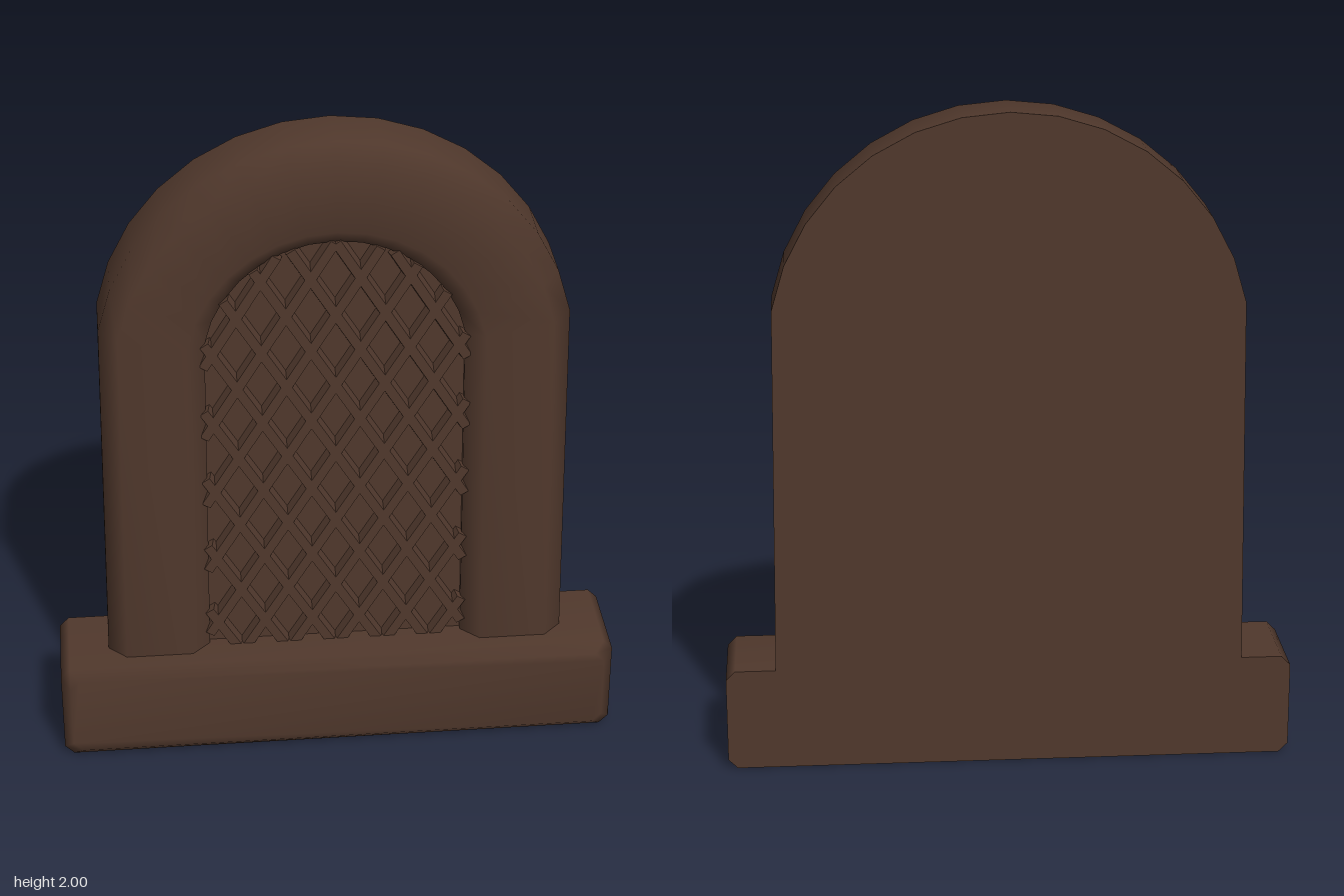
import * as THREE from 'three';

const material = new THREE.MeshStandardMaterial({ color: 0x50382c });
const ARCH_Y = 1.3, BACK = -0.155, FRONT = 0.075;
const OPEN_R = 0.388, FRAME_R = 0.7, BEVEL = 0.055;
const SILL_TOP = 0.315, PANEL_Z = 0.003;

function addMesh(parent, name, geometry) {
  const mesh = new THREE.Mesh(geometry, material);
  mesh.name = name;
  parent.add(mesh);
  return mesh;
}

const toVectors = (pts) => pts.map(([x, y]) => new THREE.Vector2(x, y));
const flatGeometry = (pts) => new THREE.ShapeGeometry(new THREE.Shape(toVectors(pts)));

// Round-topped outline of half-width r, counter-clockwise from the lower +x corner
function archOutline(r, bottom) {
  const pts = [[r * 1.005, bottom]];
  const start = 0.187, steps = 14;
  for (let i = 0; i <= steps; i++) {
    const a = start + (Math.PI - 2 * start) * i / steps;
    pts.push([r * Math.cos(a), ARCH_Y + r * Math.sin(a)]);
  }
  pts.push([-r * 1.005, bottom]);
  return pts;
}

// Rectangle with cut corners, shrunk by inset
function sillOutline(inset) {
  const x = 0.853 - inset, y0 = inset, y1 = SILL_TOP - inset, c = 0.028;
  return [
    [x - c, y0], [x, y0 + c], [x, y1 - c], [x - c, y1],
    [c - x, y1], [-x, y1 - c], [-x, y0 + c], [c - x, y0],
  ];
}

// Smooth skin through rings { pts, z } running from back to front;
// a closed loft joins the ring ends and caps the last ring
function loft(rings, closed) {
  const n = rings[0].pts.length, pos = [], idx = [];
  rings.forEach(({ pts, z }) => pts.forEach(([x, y]) => pos.push(x, y, z)));
  for (let k = 0; k < rings.length - 1; k++) {
    for (let i = 0; i < (closed ? n : n - 1); i++) {
      const a = k * n + i, b = k * n + (i + 1) % n;
      idx.push(a, b, b + n, a, b + n, a + n);
    }
  }
  if (closed) {
    const first = (rings.length - 1) * n;
    for (const tri of THREE.ShapeUtils.triangulateShape(toVectors(rings.at(-1).pts), [])) {
      idx.push(...tri.map((i) => i + first));
    }
  }
  const g = new THREE.BufferGeometry();
  g.setAttribute('position', new THREE.Float32BufferAttribute(pos, 3));
  g.setIndex(idx);
  g.computeVertexNormals();
  return g;
}

// Is the point within the window opening?
function inOpening(x, y) {
  if (y < 0.3) return false;
  return y < ARCH_Y ? Math.abs(x) < OPEN_R : Math.hypot(x, y - ARCH_Y) < OPEN_R;
}

// Bar with sloped sides, lying along its own y axis
function barGeometry(length) {
  const g = new THREE.BoxGeometry(0.044, length, 0.034);
  const p = g.attributes.position;
  for (let i = 0; i < p.count; i++) {
    if (p.getZ(i) > 0) p.setX(i, p.getX(i) * 0.65);
  }
  g.computeVertexNormals();
  return g;
}

function createLattice() {
  const lattice = new THREE.Group();
  lattice.name = 'lattice';
  const dx = 0.145, dy = 0.235, crossY = 1.45;
  for (const side of [1, -1]) {
    const dir = new THREE.Vector2(side * dx / 2, dy / 2).normalize();
    for (let k = -8; k <= 16; k++) {
      // Follow the line and keep the stretch inside the opening
      const x0 = side * k * dx - side * 0.004;
      let from = null, to = null;
      for (let t = -3; t <= 3; t += 0.005) {
        if (inOpening(x0 + dir.x * t, crossY + dir.y * t)) {
          if (from === null) from = t;
          to = t;
        }
      }
      if (from === null || to - from < 0.03) continue;
      const mid = (from + to) / 2;
      const bar = addMesh(lattice, 'latticeBar', barGeometry(to - from + 0.01));
      bar.position.set(x0 + dir.x * mid, crossY + dir.y * mid, PANEL_Z + 0.015);
      bar.rotation.z = -Math.atan2(dir.x, dir.y);
    }
  }
  return lattice;
}

export function createModel() {
  const model = new THREE.Group();
  model.name = 'archedWindow';

  // Arched surround, bevelled alike on the outer and inner edge
  const bottom = 0.29;
  addMesh(model, 'archFrame', loft([
    { pts: archOutline(FRAME_R, bottom), z: BACK },
    { pts: archOutline(FRAME_R, bottom), z: FRONT - BEVEL },
    { pts: archOutline(FRAME_R - BEVEL, bottom), z: FRONT },
    { pts: archOutline(OPEN_R + BEVEL, bottom), z: FRONT },
    { pts: archOutline(OPEN_R, bottom), z: FRONT - BEVEL },
    { pts: archOutline(OPEN_R, bottom), z: PANEL_Z - 0.01 },
  ], false));

  // Recessed panel behind the lattice
  addMesh(model, 'panel', flatGeometry(archOutline(OPEN_R, bottom))).position.z = PANEL_Z;
  model.add(createLattice());

  // Sill with bevelled front edges
  addMesh(model, 'sill', loft([
    { pts: sillOutline(0), z: BACK },
    { pts: sillOutline(0), z: 0.127 },
    { pts: sillOutline(0.028), z: 0.155 },
  ], true));

  // One flat back behind both the surround and the sill
  const sill = sillOutline(0);
  const backOutline = [
    ...sill.slice(0, 4), ...archOutline(FRAME_R, SILL_TOP), ...sill.slice(4),
  ].map(([x, y]) => [-x, y]);
  const back = addMesh(model, 'back', flatGeometry(backOutline));
  back.rotation.y = Math.PI;
  back.position.z = BACK;

  return model;
}
